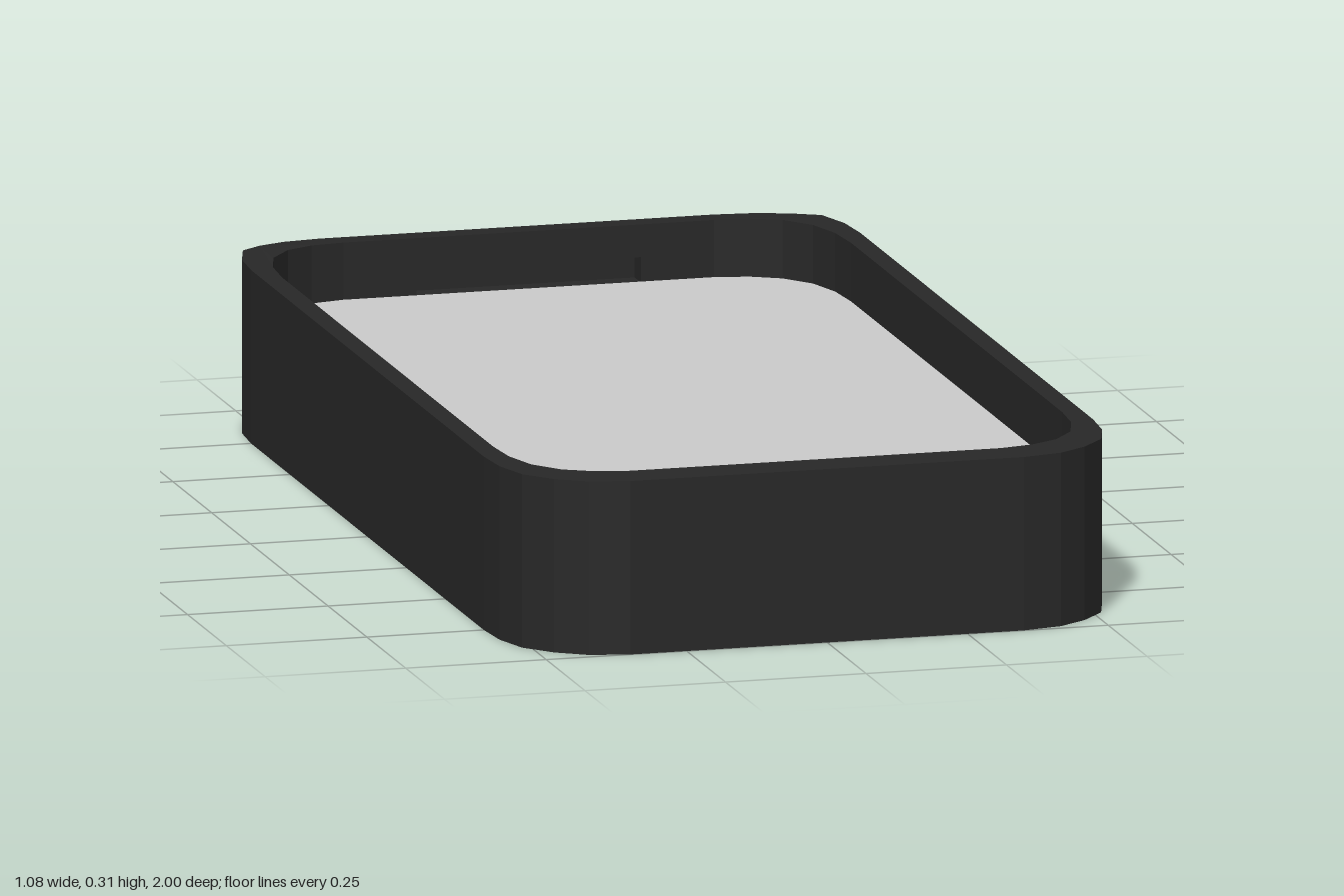
import * as THREE from 'three';

const HEIGHT = 0.305, FLOOR = 0.2, SLOT_TOP = 0.245;
const SLOT_HALF = 0.2, SLOT_END = 0.965;

// One corner (+x, +z) of each outline, from the long side to the short end
const OUTER = [[0.542, 0.75], [0.536, 0.83], [0.515, 0.9], [0.472, 0.95], [0.42, 0.985], [0.35, 1]];
const INNER = [[0.506, 0.68], [0.5, 0.76], [0.48, 0.83], [0.44, 0.882], [0.39, 0.91], [0.33, 0.923]];

// Mirrors a corner into a closed outline, with optional slot recesses at the ends
function outline(corner, frontSlot = false, backSlot = false) {
  const end = corner[corner.length - 1][1];
  const slot = (s) => [[SLOT_HALF * s, end * s], [SLOT_HALF * s, SLOT_END * s],
    [-SLOT_HALF * s, SLOT_END * s], [-SLOT_HALF * s, end * s]];
  const flip = (sx, sz) => corner.map(([x, z]) => [x * sx, z * sz]);
  const points = [
    ...flip(1, 1), ...(frontSlot ? slot(1) : []), ...flip(-1, 1).reverse(),
    ...flip(-1, -1), ...(backSlot ? slot(-1) : []), ...flip(1, -1).reverse(),
  ];
  // Shape y becomes -z once laid flat; reversed to run counter-clockwise
  return points.map(([x, z]) => new THREE.Vector2(x, -z)).reverse();
}

// Extrudes an outline upward from y0 to y1; the back end tapers slightly
function layer(name, material, points, hole, y0, y1) {
  const shape = new THREE.Shape(points);
  if (hole) shape.holes.push(new THREE.Path(hole));
  const geometry = new THREE.ExtrudeGeometry(shape, { depth: y1 - y0, bevelEnabled: false });
  geometry.rotateX(-Math.PI / 2).translate(0, y0, 0);
  const p = geometry.attributes.position;
  for (let i = 0; i < p.count; i++) {
    const t = Math.max(0, (-p.getZ(i) - 0.9) / 0.1);
    const y = p.getY(i);
    if (y < 0.001) p.setY(i, 0.011 * t);
    if (y > HEIGHT - 0.001) p.setY(i, HEIGHT - 0.011 * t);
  }
  geometry.computeVertexNormals();
  const mesh = new THREE.Mesh(geometry, material);
  mesh.name = name;
  return mesh;
}

export function createModel() {
  const group = new THREE.Group();
  group.name = 'shallowCase';
  const dark = new THREE.MeshStandardMaterial({ color: 0x282828 });
  const grey = new THREE.MeshStandardMaterial({ color: 0xcccccc });

  // Solid base, then the wall with a slot at each end, then the plain rim
  group.add(layer('base', dark, outline(OUTER), null, 0, FLOOR));
  group.add(layer('slottedWall', dark, outline(OUTER), outline(INNER, true, true), FLOOR, SLOT_TOP));
  group.add(layer('rim', dark, outline(OUTER), outline(INNER), SLOT_TOP, HEIGHT));

  // Flat panel in the recess, reaching into the front slot
  const panel = new THREE.ShapeGeometry(new THREE.Shape(outline(INNER, true)));
  panel.rotateX(-Math.PI / 2).translate(0, FLOOR + 0.002, 0);
  const panelMesh = new THREE.Mesh(panel, grey);
  panelMesh.name = 'panel';
  group.add(panelMesh);

  return group;
}
